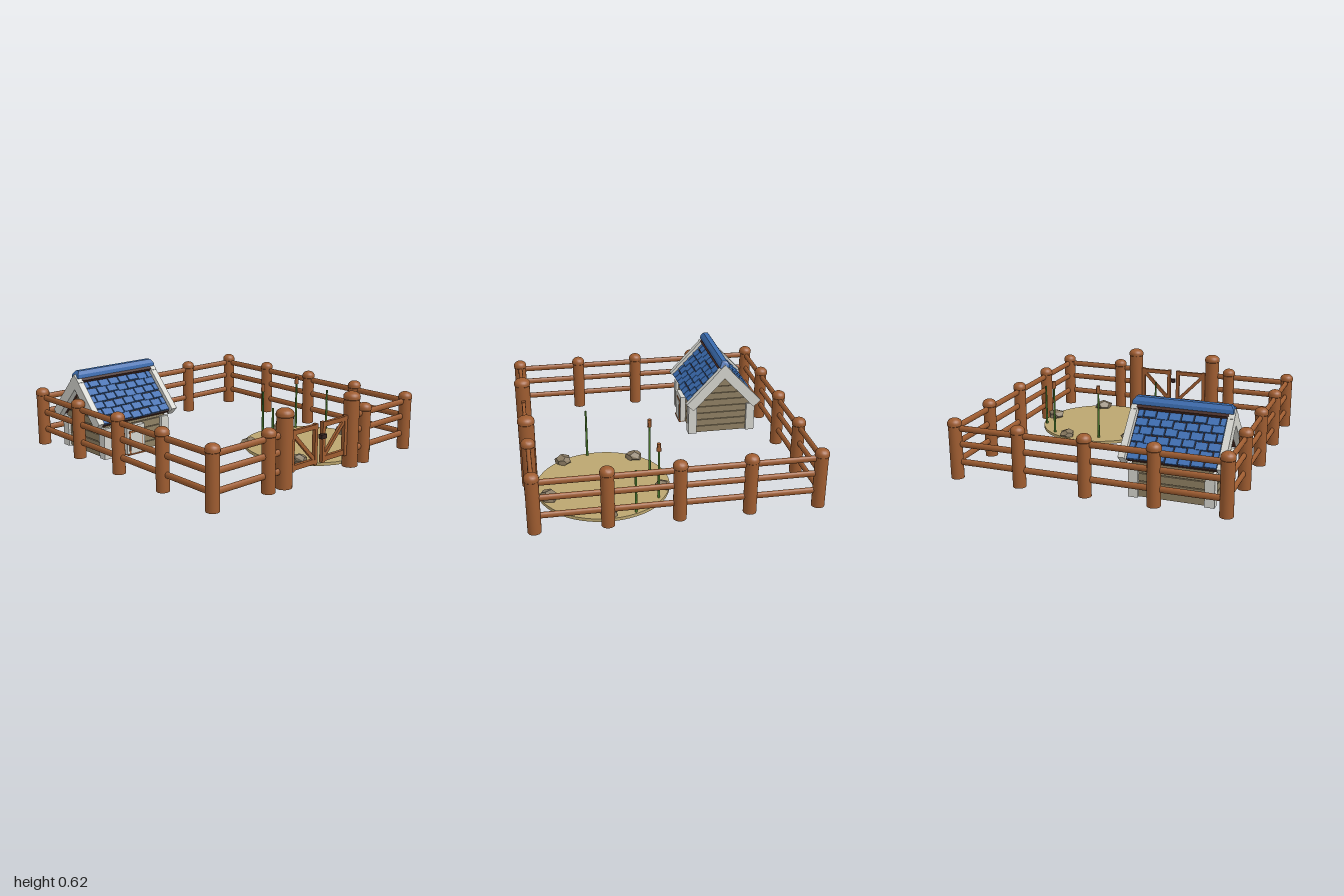
import * as THREE from 'three';
import { toCreasedNormals } from 'three/addons/utils/BufferGeometryUtils.js';

const mat = (name, color, flat = false) => {
  const m = new THREE.MeshStandardMaterial({ color, flatShading: flat });
  m.name = name;
  return m;
};

export function createModel() {
  const wood = mat('brown wood', 0x9e5c30);
  const white = mat('white trim', 0xd4d4ce);
  const blue = mat('blue shingle', 0x3a6cb0);
  const dark = mat('dark underlay', 0x43261f);
  const plank = mat('weathered plank', 0x8f8063);
  const sand = mat('sand', 0xbba670);
  const stone = mat('stone', 0x86775f, true);
  const green = mat('reed green', 0x4a7a2c);
  const iron = mat('dark iron', 0x33221f);

  const model = new THREE.Group();
  model.name = 'fencedYard';
  const group = (name, parent = model) => {
    const g = new THREE.Group();
    g.name = name;
    parent.add(g);
    return g;
  };
  const add = (parent, name, geo, m, x = 0, y = 0, z = 0) => {
    const mesh = new THREE.Mesh(geo, m);
    mesh.name = name;
    mesh.position.set(x, y, z);
    parent.add(mesh);
    return mesh;
  };
  const box = (parent, name, m, w, h, d, x, y, z) =>
    add(parent, name, new THREE.BoxGeometry(w, h, d), m, x, y, z);

  // ---- Fence: round posts with domed caps, three flattened rails ----
  const fence = group('fence');
  const E = 0.945, H = 0.4725, BACK = -0.952, FRONT = 0.941;
  const postGeo = (r, h) => {
    const R = r + 0.004, pts = [[0, 0.012], [r, 0.012], [r, h - 0.056], [R, h - 0.052]];
    for (let i = 0; i <= 6; i++) {
      const a = (i / 6) * Math.PI / 2;
      pts.push([R * Math.cos(a), h - 0.036 + 0.036 * Math.sin(a)]);
    }
    pts[pts.length - 1][0] = 0;
    return toCreasedNormals(new THREE.LatheGeometry(pts.map(p => new THREE.Vector2(...p)), 24), 0.7);
  };
  const post = postGeo(0.045, 0.44), gatePost = postGeo(0.055, 0.543);
  const midZ = (BACK + FRONT) / 2;
  for (let i = -2; i <= 2; i++) {
    add(fence, 'backPost', post, wood, i * H, 0, BACK);
    if (i !== 0) add(fence, 'frontPost', post, wood, i * H, 0, FRONT);
    if (Math.abs(i) < 2)
      for (const s of [-1, 1]) add(fence, 'sidePost', post, wood, s * E, 0, midZ + i * H);
  }
  for (const s of [-1, 1]) add(fence, 'gatePost', gatePost, wood, s * 0.33, 0, FRONT);

  const rails = (name, length, x, z, turn) => {
    const g = group(name, fence);
    g.position.set(x, 0, z);
    g.rotation.y = turn;
    const geo = new THREE.CylinderGeometry(0.022, 0.022, length, 14).rotateZ(Math.PI / 2).scale(1, 1, 0.72);
    for (const y of [0.13, 0.258, 0.369]) add(g, 'rail', geo, wood, 0, y, 0);
  };
  rails('backRails', 2 * E, 0, BACK, 0);
  for (const s of [-1, 1]) {
    rails('sideRails', FRONT - BACK, s * E, midZ, Math.PI / 2);
    rails('frontRails', E - 0.33, s * (E + 0.33) / 2, FRONT, 0);
  }

  // ---- Double gate with braces and latch ----
  for (const s of [-1, 1]) {
    const leaf = group(s < 0 ? 'rightGate' : 'leftGate');
    leaf.position.z = FRONT;
    box(leaf, 'innerStile', wood, 0.026, 0.285, 0.028, s * 0.038, 0.242, 0);
    box(leaf, 'outerStile', wood, 0.028, 0.285, 0.028, s * 0.262, 0.242, 0);
    box(leaf, 'topBar', wood, 0.2, 0.032, 0.024, s * 0.15, 0.364, 0);
    box(leaf, 'bottomBar', wood, 0.2, 0.036, 0.024, s * 0.15, 0.126, 0);
    const brace = box(leaf, 'brace', wood, 0.285, 0.026, 0.02, s * 0.15, 0.245, 0);
    brace.rotation.z = s * 0.8;
    for (const y of [0.14, 0.35]) box(leaf, 'hinge', wood, 0.04, 0.02, 0.016, s * 0.285, y, 0);
  }
  box(model, 'gateLatch', iron, 0.05, 0.03, 0.03, 0.018, 0.29, 0.96);

  // ---- Sandy patch with stones and reeds ----
  add(model, 'sandPatch', new THREE.CylinderGeometry(0.465, 0.465, 0.022, 48), sand, 0.445, 0.023, 0.44);
  const stones = group('stones');
  [[0.105, 0.167, 0.062], [0.573, 0.036, 0.056], [0.855, 0.449, 0.066],
    [0.092, 0.688, 0.062], [0.585, 0.827, 0.07]].forEach(([x, z, r], k) => {
    const geo = new THREE.DodecahedronGeometry(r);
    const p = geo.attributes.position, v = new THREE.Vector3();
    for (let i = 0; i < p.count; i++) {
      v.fromBufferAttribute(p, i);
      v.multiplyScalar(1 + 0.12 * Math.sin(v.x / r * 4 + v.y / r * 7 + v.z / r * 5 + k * 2));
      p.setXYZ(i, v.x, v.y * 0.62, v.z);
    }
    geo.computeVertexNormals();
    add(stones, 'stone', geo, stone, x, 0.052, z).rotation.y = k * 1.3;
  });
  const reeds = group('reeds');
  [[0.33, 0.09, 0.395, true], [0.7, 0.09, 0.395, true], [0.855, 0.27, 0.345], [0.01, 0.505, 0.395]]
    .forEach(([x, z, top, head]) => {
      const h = top - 0.03;
      add(reeds, 'reedStem', new THREE.CylinderGeometry(0.007, 0.009, h, 10), green, x, 0.03 + h / 2, z);
      if (head) add(reeds, 'reedHead', toCreasedNormals(new THREE.CylinderGeometry(0.014, 0.016, 0.055, 12), 0.7),
        wood, x, 0.417, z);
    });

  // ---- Small house ----
  const house = group('house');
  house.position.set(-0.55, 0, -0.585);
  const alongX = (pts, len) => {
    const shape = new THREE.Shape(pts.map(p => new THREE.Vector2(...p)));
    return new THREE.ExtrudeGeometry(shape, { depth: len, bevelEnabled: false })
      .translate(0, 0, -len / 2).rotateY(Math.PI / 2);
  };
  // Half width of the wall at a height, narrowing up the gable
  const half = (y, w) => Math.min(w, Math.max(0.001, (0.505 - y) / 1.058));
  add(house, 'wallCore', alongX([[-0.225, 0.005], [0.225, 0.005], [0.225, 0.25], [0, 0.485], [-0.225, 0.25]], 0.52), dark);
  for (let i = 0; i < 9; i++) {
    const y0 = 0.005 + i * 0.055, y1 = Math.min(y0 + 0.05, 0.5);
    const a = half(y0, 0.24), b = half(y1, 0.24), pts = [[-a, y0], [a, y0]];
    if (y0 < 0.251 && y1 > 0.251) pts.push([0.24, 0.251]);
    pts.push([b, y1], [-b, y1]);
    if (y0 < 0.251 && y1 > 0.251) pts.push([-0.24, 0.251]);
    add(house, 'wallPlank', alongX(pts, 0.54), plank);
  }
  for (const sx of [-1, 1]) for (const sz of [-1, 1])
    box(house, 'cornerPost', white, 0.066, 0.226, 0.066, sx * 0.257, 0.117, sz * 0.231);

  // Door with white surround
  const door = group('door', house);
  door.position.set(-0.025, 0, 0.25);
  box(door, 'doorFrame', white, 0.16, 0.21, 0.05, 0, 0.11, 0.005);
  box(door, 'doorBorder', wood, 0.12, 0.172, 0.006, 0, 0.093, 0.032);
  box(door, 'doorPanel', white, 0.1, 0.155, 0.008, 0, 0.088, 0.035);
  box(door, 'doorStep', wood, 0.16, 0.01, 0.045, 0, 0.005, 0.02);

  // Roof halves: local +z runs down the slope, +y is outward
  const PITCH = 0.813;
  for (const turn of [0, Math.PI]) {
    const side = group(turn ? 'backRoof' : 'frontRoof', house);
    side.rotation.y = turn;
    const slope = group('slope', side);
    slope.position.y = 0.59;
    slope.rotation.x = PITCH;
    box(slope, 'roofSlab', dark, 0.62, 0.026, 0.42, 0, -0.05, 0.208);
    for (const s of [-1, 1]) box(slope, 'bargeBoard', white, 0.046, 0.075, 0.427, s * 0.327, -0.0375, 0.2135);
    const W = 0.6, pitch = W / 7, gap = 0.008;
    for (let r = 0; r < 7; r++) {
      const odd = r % 2;
      for (let c = 0; c < 7 + odd; c++) {
        const x0 = Math.max(-W / 2, -W / 2 + (c - odd / 2) * pitch);
        const x1 = Math.min(W / 2, -W / 2 + (c + 1 - odd / 2) * pitch);
        const drop = ((r * 5 + c * 3) % 4) * 0.003;
        const tile = box(slope, 'shingle', blue, x1 - x0 - gap, 0.014, 0.056,
          (x0 + x1) / 2, -0.026, 0.03 + r * 0.06 + drop - 0.005);
        tile.rotation.x = -0.1;
      }
    }
  }
  // Ridge cap with chamfered ends
  const ridge = alongX([[-0.04, 0.565], [0.04, 0.565], [0.036, 0.59], [0.018, 0.615], [-0.018, 0.615], [-0.036, 0.59]], 0.68);
  const rp = ridge.attributes.position;
  for (let i = 0; i < rp.count; i++)
    if (rp.getY(i) > 0.6) rp.setX(i, rp.getX(i) * 0.94);
  ridge.computeVertexNormals();
  add(house, 'ridgeCap', ridge, blue);

  return model;
}
